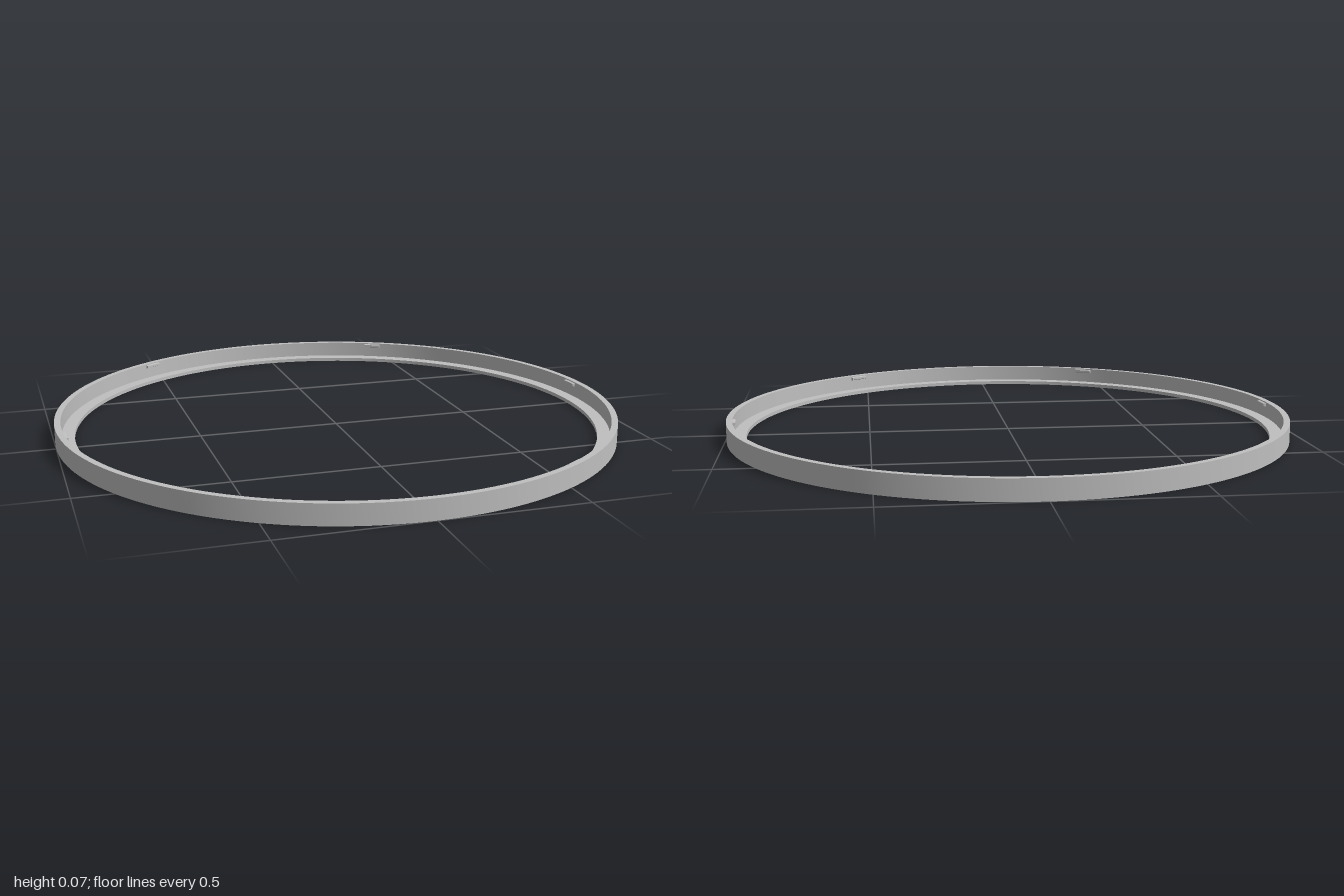
import * as THREE from 'three';
import { toCreasedNormals } from 'three/addons/utils/BufferGeometryUtils.js';

export function createModel() {
  const model = new THREE.Group();
  model.name = 'retainingRing';
  const grey = new THREE.MeshStandardMaterial({ color: 0xbfbfbf });
  grey.name = 'grey';

  // L-shaped section: tall thin outer wall with a flat inward flange at its foot
  const section = [
    [0.932, 0], [1, 0], [1, 0.07], [0.978, 0.07],
    [0.978, 0.013], [0.932, 0.013], [0.932, 0],
  ].map(([r, y]) => new THREE.Vector2(r, y));
  const ring = new THREE.Mesh(
    toCreasedNormals(new THREE.LatheGeometry(section, 160), 0.6), grey);
  ring.name = 'flangedRing';
  model.add(ring);

  // Six small snap tabs just under the rim, on the inside of the wall
  const tabWidth = 0.066;
  const tabShape = new THREE.Shape([
    [0.984, 0.05], [0.984, 0.067], [0.968, 0.064], [0.968, 0.056],
  ].map(([r, y]) => new THREE.Vector2(r, y)));
  const tabGeometry = new THREE.ExtrudeGeometry(tabShape, { depth: tabWidth, bevelEnabled: false });
  tabGeometry.translate(0, 0, -tabWidth / 2);
  for (let i = 0; i < 6; i++) {
    const tab = new THREE.Mesh(tabGeometry, grey);
    tab.name = `snapTab${i + 1}`;
    tab.rotation.y = THREE.MathUtils.degToRad(3.5 + i * 60);
    model.add(tab);
  }
  return model;
}
